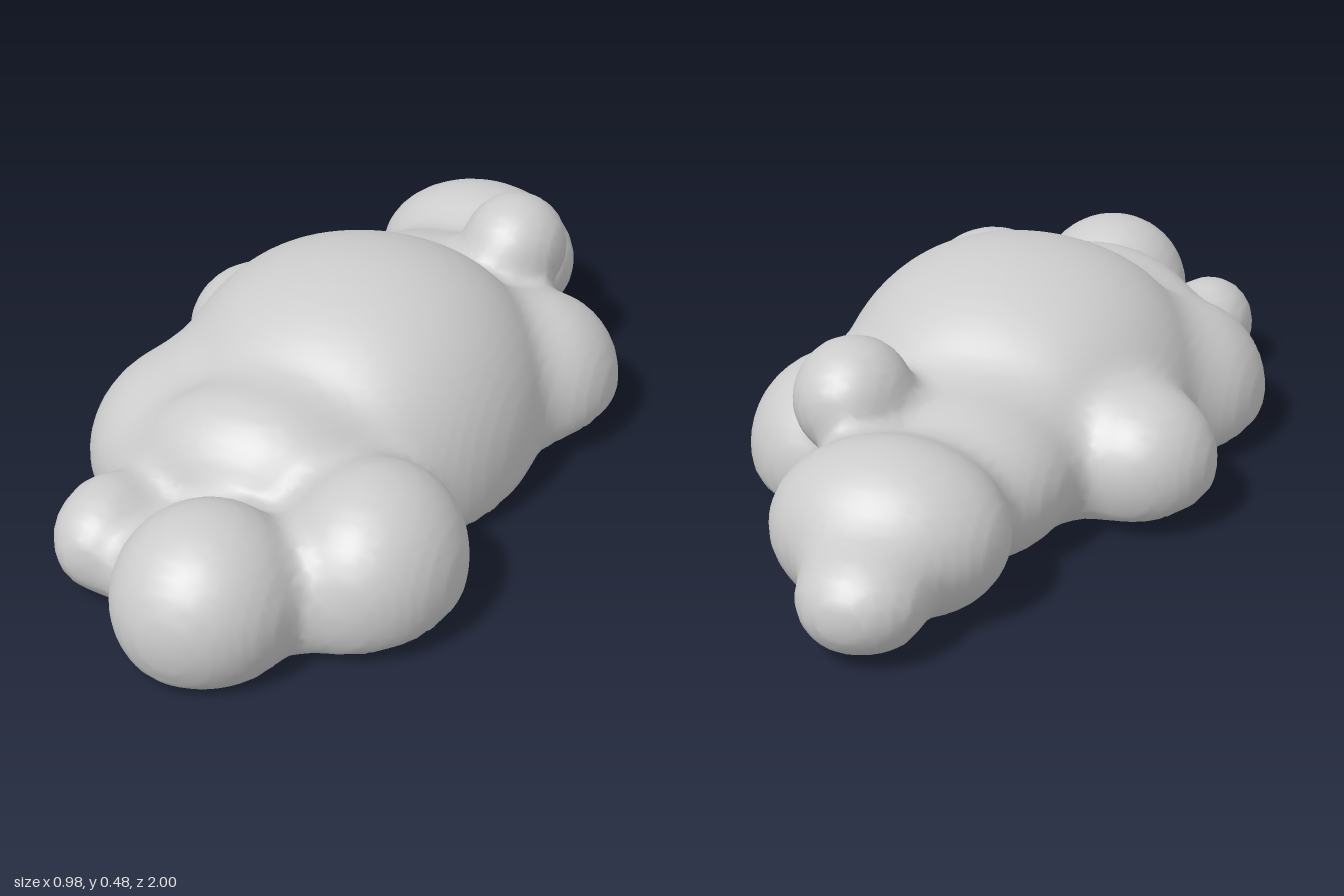
import * as THREE from 'three';

// Puffs of the cloud: centre and radii
const PUFFS = [
  { at: [-0.05, 0.12, 0.05], r: [0.35, 0.355, 0.42] },   // main dome, right half
  { at: [0.065, 0.12, 0.05], r: [0.335, 0.355, 0.42] },  // main dome, left half
  { at: [-0.05, 0.14, 0.45], r: [0.27, 0.215, 0.18] },   // front shelf
  { at: [0.01, 0.125, 0.81], r: [0.182, 0.18, 0.19] },   // front tip
  { at: [0.25, 0.12, 0.58], r: [0.18, 0.195, 0.21] },    // front left
  { at: [-0.27, 0.11, 0.665], r: [0.105, 0.11, 0.135] }, // front right
  { at: [-0.12, 0.07, 0.65], r: [0.18, 0.10, 0.15] },    // low filling, front right
  { at: [0.12, 0.07, 0.65], r: [0.18, 0.12, 0.15] },     // low filling, front left
  { at: [-0.28, 0.10, 0.27], r: [0.21, 0.20, 0.26] },    // right side
  { at: [-0.33, 0.13, -0.17], r: [0.16, 0.155, 0.16] },  // right rear
  { at: [0.30, 0.11, -0.23], r: [0.19, 0.19, 0.215] },   // left rear
  { at: [-0.01, 0.14, -0.36], r: [0.24, 0.175, 0.27] },  // neck
  { at: [0.18, 0.31, -0.45], r: [0.118, 0.12, 0.13] },   // raised ball
  { at: [0.015, 0.155, -0.68], r: [0.235, 0.175, 0.19] },// rear
  { at: [-0.01, 0.115, -0.88], r: [0.123, 0.105, 0.12] },// rear tip
];

function smoothMin(a, b, k) {
  const h = Math.max(k - Math.abs(a - b), 0) / k;
  return Math.min(a, b) - h * h * k * 0.25;
}

// Approximate distance to one ellipsoid puff
function puffDistance({ at, r }, p) {
  const q = p.map((v, a) => (v - at[a]) / r[a]);
  const k0 = Math.hypot(...q);
  const k1 = Math.hypot(...q.map((v, a) => v / r[a]));
  return k1 < 1e-6 ? -Math.min(...r) : k0 * (k0 - 1) / k1;
}

// Underside: gently wavy along z, rising towards the sides
function floorHeight(x, z) {
  return 0.007 + 0.035 * (x / 0.45) ** 4 + 0.008 * (1 - Math.cos((z - 0.2) * 8.5));
}

function cloudDistance(p) {
  const d = PUFFS.reduce((near, puff) => smoothMin(near, puffDistance(puff, p), 0.06), 10);
  return -smoothMin(-d, p[1] - floorHeight(p[0], p[2]), 0.025);
}

// Skin of the blended puffs: one point per grid cell the surface passes through,
// one quad per grid edge it crosses
function cloudGeometry(cell = 0.02) {
  const low = [-0.56, -0.05, -1.07], size = [57, 30, 108];
  const step = [1, size[0], size[0] * size[1]];
  const total = step[2] * size[2];
  const place = (id) => [id % size[0], Math.floor(id / step[1]) % size[1], Math.floor(id / step[2])];
  const values = new Float32Array(total);
  for (let id = 0; id < total; id++) {
    values[id] = cloudDistance(place(id).map((g, a) => low[a] + g * cell));
  }

  const positions = [], pointOf = new Int32Array(total).fill(-1);
  for (let id = 0; id < total; id++) {
    const g = place(id);
    if (g.some((v, a) => v >= size[a] - 1)) continue;
    const sum = [0, 0, 0];
    let hits = 0;
    for (let corner = 0; corner < 8; corner++) {
      const offset = [corner & 1, (corner >> 1) & 1, corner >> 2];
      const from = id + offset[0] + offset[1] * step[1] + offset[2] * step[2];
      for (let axis = 0; axis < 3; axis++) {
        if (offset[axis]) continue;
        const v0 = values[from], v1 = values[from + step[axis]];
        if ((v0 < 0) === (v1 < 0)) continue;
        for (let a = 0; a < 3; a++) sum[a] += offset[a] + (a === axis ? v0 / (v0 - v1) : 0);
        hits++;
      }
    }
    if (!hits) continue;
    pointOf[id] = positions.length / 3;
    positions.push(...sum.map((s, a) => low[a] + (g[a] + s / hits) * cell));
  }

  const index = [];
  for (let id = 0; id < total; id++) {
    const g = place(id);
    if (g.some((v, a) => v < 1 || v >= size[a] - 1)) continue;
    for (let axis = 0; axis < 3; axis++) {
      const inside = values[id] < 0;
      if (inside === (values[id + step[axis]] < 0)) continue;
      const b = step[(axis + 1) % 3], c = step[(axis + 2) % 3];
      const quad = [id - b - c, id - c, id, id - b].map((k) => pointOf[k]);
      if (!inside) quad.reverse();
      index.push(quad[0], quad[1], quad[2], quad[0], quad[2], quad[3]);
    }
  }

  const geometry = new THREE.BufferGeometry();
  geometry.setAttribute('position', new THREE.Float32BufferAttribute(positions, 3));
  geometry.setIndex(index);
  geometry.computeVertexNormals();
  return geometry;
}

export function createModel() {
  const group = new THREE.Group();
  group.name = 'cloud';
  const material = new THREE.MeshStandardMaterial({ color: 0xcccccc });
  const body = new THREE.Mesh(cloudGeometry(), material);
  body.name = 'cloudBody';
  group.add(body);
  return group;
}
